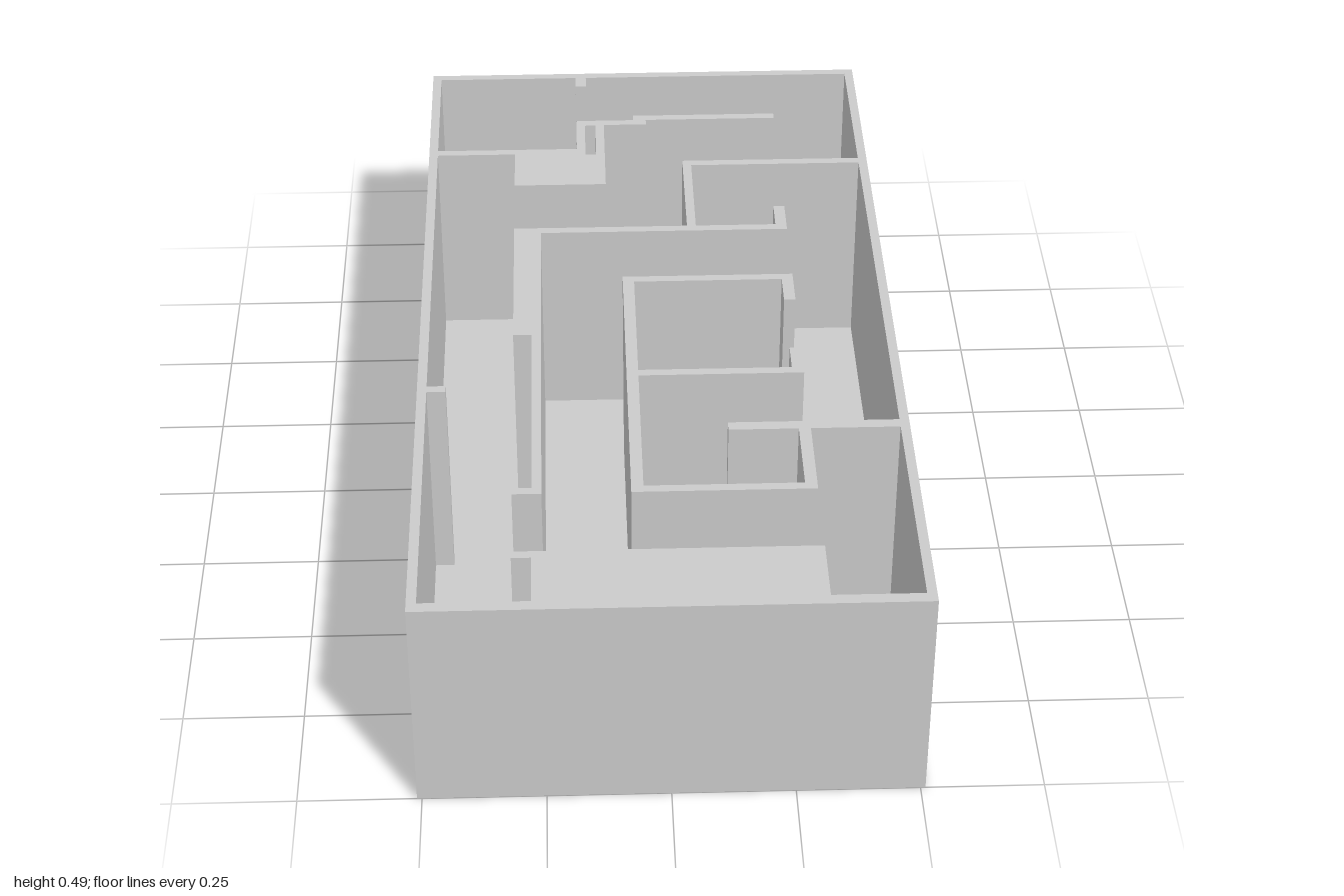
import * as THREE from 'three';

const HALF_X = 0.51, HALF_Z = 1, HEIGHT = 0.49, FLOOR = 0.02;
const IN_X = 0.49, IN_BACK = -0.98, IN_FRONT = 0.975; // inner faces of the outer walls

const material = new THREE.MeshStandardMaterial({ color: 0xcccccc, flatShading: true });

// Plan corners are [x, z]; the shape plane uses y = -z
const toPoints = (corners) => corners.map(([x, z]) => new THREE.Vector2(x, -z));
const rect = (x0, z0, x1, z1) => [[x0, z0], [x0, z1], [x1, z1], [x1, z0]];

// Raises a plan outline from the floor to the rim
function raise(name, outline, hole) {
  const shape = new THREE.Shape(toPoints(outline));
  if (hole) shape.holes.push(new THREE.Path(toPoints(hole)));
  const geometry = new THREE.ExtrudeGeometry(shape, { depth: HEIGHT - FLOOR, bevelEnabled: false });
  geometry.rotateX(-Math.PI / 2).translate(0, FLOOR, 0);
  const mesh = new THREE.Mesh(geometry, material);
  mesh.name = name;
  return mesh;
}

export function createModel() {
  const group = new THREE.Group();
  group.name = 'floorPlan';

  // Base slab
  const floor = new THREE.Mesh(new THREE.BoxGeometry(2 * HALF_X, FLOOR, 2 * HALF_Z), material);
  floor.position.y = FLOOR / 2;
  floor.name = 'floor';
  group.add(floor);

  // Outer walls
  group.add(raise('outerWalls',
    rect(-HALF_X, -HALF_Z, HALF_X, HALF_Z),
    rect(-IN_X, IN_BACK, IN_X, IN_FRONT)));

  // Short door stubs on the back and right-hand outer walls
  group.add(raise('backStub', rect(-0.165, IN_BACK, -0.14, -0.94)));
  group.add(raise('sideStub', rect(-IN_X, 0.275, -0.45, 0.295)));

  // Back room wall with its thick block and narrow slot
  group.add(raise('backRoomWall', [
    [-IN_X, -0.655], [-0.165, -0.655], [-0.165, -0.78], [-0.03, -0.78], [-0.03, -0.80],
    [0.305, -0.80], [0.305, -0.78], [0, -0.78], [0, -0.76], [-0.10, -0.76],
    [-0.10, -0.50], [-0.31, -0.50], [-0.31, -0.635], [-IN_X, -0.635],
  ], rect(-0.145, -0.76 + 0.002, -0.12, -0.63)));

  // Corridor wall: side closet, cross wall and the long wall towards the front
  group.add(raise('corridorWall', [
    [IN_X, -0.595], [0.08, -0.595], [0.08, -0.32], [-0.31, -0.32], [-0.31, 0.095],
    [-0.27, 0.095], [-0.27, 0.625], [-0.31, 0.625], [-0.31, 0.645], [-0.25, 0.645],
    [-0.25, -0.30], [0.305, -0.30], [0.305, -0.395], [0.28, -0.395], [0.28, -0.32],
    [0.10, -0.32], [0.10, -0.575], [IN_X, -0.575],
  ]));

  // Two middle rooms joined to the outer wall
  group.add(raise('middleRoomWalls', [
    [-0.07, -0.12], [0.305, -0.12], [0.305, -0.02], [0.28, -0.02], [0.28, -0.10],
    [-0.045, -0.10], [-0.045, 0.23], [0.28, 0.23], [0.28, 0.16], [0.305, 0.16],
    [0.305, 0.25], [-0.045, 0.25], [-0.045, 0.625], [0.28, 0.625], [0.28, 0.445],
    [0.135, 0.445], [0.135, 0.42], [IN_X, 0.42], [IN_X, 0.445], [0.305, 0.445],
    [0.305, 0.645], [-0.07, 0.645],
  ]));

  // Solid block against the front wall
  group.add(raise('frontBlock', [
    [-0.31, 0.825], [0.305, 0.825], [0.305, IN_FRONT], [-0.27, IN_FRONT],
    [-0.27, 0.845], [-0.31, 0.845],
  ]));

  return group;
}
